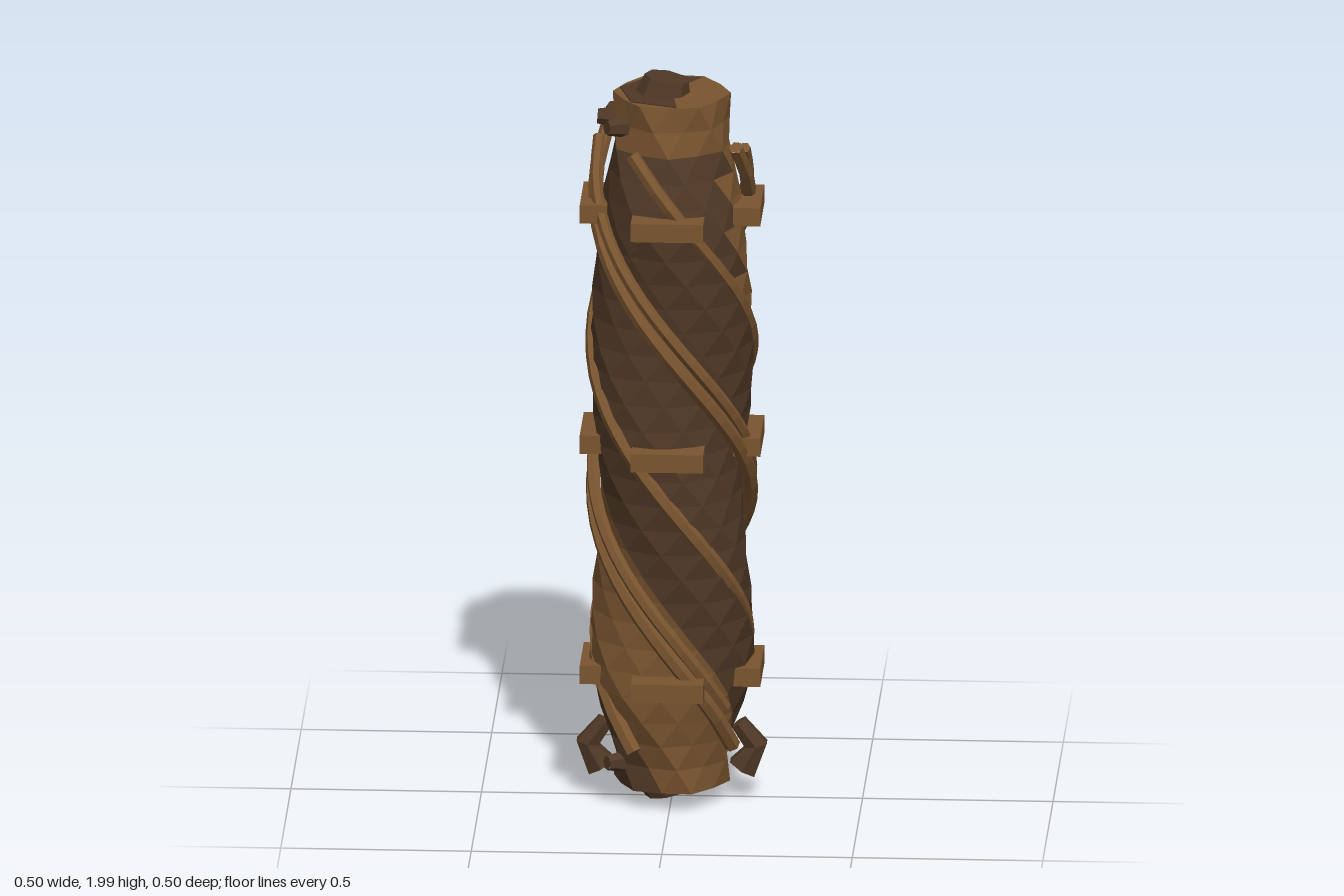
import * as THREE from 'three';

const light = new THREE.MeshStandardMaterial({ color: 0x7a5530, flatShading: true });
light.name = 'lightWood';
const dark = new THREE.MeshStandardMaterial({ color: 0x4f3826, flatShading: true });
dark.name = 'darkWood';

const SIDES = 12, RINGS = 28, RATE = 3.81; // twist in radians per unit of height
const rad = THREE.MathUtils.degToRad;
const polar = (a, r, y) => new THREE.Vector3(Math.sin(a) * r, y, Math.cos(a) * r);
const columnAngle = (j, y) => rad(120) + (1.4 - y) * RATE + (j / SIDES) * Math.PI * 2;

// Trunk surface: narrow six-sided ends, a two-lobed twisting middle
function trunkPoint(j, y) {
  const a = columnAngle(j, y);
  const mid = THREE.MathUtils.smoothstep(Math.min(y - 0.1, 1.88 - y), 0, 0.28);
  const phase = rad(270) + (1.27 - y) * RATE;
  const end = 0.155 * (j % 2 ? 1 : 0.92);
  const full = 0.202 + 0.015 * Math.cos(2 * (a - phase));
  return polar(a, THREE.MathUtils.lerp(end, full, mid), y);
}

// Light grain: a collar on top, and a band that winds round below y = 1.4
function isLightGrain(j, y) {
  const centre = rad(122) + Math.max(0, 1.4 - y) * RATE;
  return y > 1.84 || Math.cos(columnAngle(j + 0.5, y) - centre) > 0.52;
}

function meshFromTriangles(name, pts, material) {
  const g = new THREE.BufferGeometry().setFromPoints(pts);
  g.computeVertexNormals();
  const m = new THREE.Mesh(g, material);
  m.name = name;
  return m;
}

// Tapered tube: rings of a tube shrink or grow along the path
function taperedTube(name, points, r0, r1, material, segments, sides = 6) {
  const curve = new THREE.CatmullRomCurve3(points);
  const g = new THREE.TubeGeometry(curve, segments, 1, sides, false);
  const p = g.attributes.position, v = new THREE.Vector3();
  for (let i = 0; i < p.count; i++) {
    const t = Math.floor(i / (sides + 1)) / segments;
    const c = curve.getPointAt(t);
    v.fromBufferAttribute(p, i).sub(c).multiplyScalar(THREE.MathUtils.lerp(r0, r1, t)).add(c);
    p.setXYZ(i, v.x, v.y, v.z);
  }
  g.computeVertexNormals();
  const group = new THREE.Group();
  group.name = name;
  const tube = new THREE.Mesh(g, material);
  tube.name = name + 'Stem';
  group.add(tube);
  // Closed ends
  [[0, r0, -1], [1, r1, 1]].forEach(([t, r, s]) => {
    const cap = new THREE.Mesh(new THREE.CircleGeometry(r, sides), material);
    cap.name = name + 'End';
    cap.position.copy(curve.getPointAt(t));
    cap.lookAt(cap.position.clone().addScaledVector(curve.getTangentAt(t), s));
    group.add(cap);
  });
  return group;
}

// Vine wound once around the trunk from a start angle in degrees
function vine(name, startDeg, from, to, radius) {
  const pts = [];
  for (let i = 0; i <= 16; i++) {
    const t = THREE.MathUtils.lerp(from, to, i / 16);
    const r = 0.197 + 0.014 * Math.sin(t * Math.PI) - 0.01 * t * t;
    pts.push(polar(rad(startDeg) + t * Math.PI * 2, r, 1.83 - 1.65 * t));
  }
  return taperedTube(name, pts, radius, radius * 1.15, light, 36);
}

export function createModel() {
  const model = new THREE.Group();
  model.name = 'twistedLog';

  // Trunk in two colours of grain
  const lightPts = [], darkPts = [];
  const y0 = 0.06, y1 = 1.95;
  for (let i = 0; i < RINGS; i++) {
    const ya = THREE.MathUtils.lerp(y0, y1, i / RINGS);
    const yb = THREE.MathUtils.lerp(y0, y1, (i + 1) / RINGS);
    for (let j = 0; j < SIDES; j++) {
      const a = trunkPoint(j, ya), b = trunkPoint(j + 1, ya);
      const c = trunkPoint(j + 1, yb), d = trunkPoint(j, yb);
      const pts = isLightGrain(j, (ya + yb) / 2) ? lightPts : darkPts;
      pts.push(a, b, c, a, c, d);
    }
  }
  for (let j = 0; j < SIDES; j++) {
    lightPts.push(new THREE.Vector3(0, y1, 0), trunkPoint(j, y1), trunkPoint(j + 1, y1));
    darkPts.push(new THREE.Vector3(0, y0, 0), trunkPoint(j + 1, y0), trunkPoint(j, y0));
  }
  model.add(meshFromTriangles('trunkLightGrain', lightPts, light));
  model.add(meshFromTriangles('trunkDarkGrain', darkPts, dark));

  // Dark heartwood on the top cut
  const heart = new THREE.Mesh(new THREE.CylinderGeometry(0.141, 0.141, 0.004, 4, 1, false, rad(148), rad(220)), dark);
  heart.name = 'heartwood';
  heart.position.y = 1.951;
  model.add(heart);

  // Slanted knots at both ends
  [[1.965, 1], [0.045, -1]].forEach(([y, s]) => {
    const knot = new THREE.Mesh(new THREE.CylinderGeometry(0.058, 0.074, 0.05, 8), dark);
    knot.name = s > 0 ? 'topKnot' : 'bottomKnot';
    knot.position.set(-0.018, y, 0);
    knot.rotation.set(s < 0 ? Math.PI : 0, 0, -0.18);
    model.add(knot);
  });

  // Four vines, two of them with a thinner strand alongside
  for (let k = 0; k < 4; k++) {
    const start = -29 + 90 * k;
    model.add(vine('vine', start, 0, 1, 0.019));
    if (k % 2) model.add(vine('vineStrand', start + 13, 0.01, 0.93, 0.016));
  }

  // Three levels of blocks on four sides
  for (const y of [0.37, 1.005, 1.64]) {
    for (const s of [-1, 1]) {
      const side = new THREE.Mesh(new THREE.BoxGeometry(0.072, 0.05, 0.2), light);
      side.name = 'sideBlock';
      side.position.set(0.201 * s, y, 0);
      const face = new THREE.Mesh(new THREE.BoxGeometry(0.19, 0.05, 0.085), light);
      face.name = s > 0 ? 'frontBlock' : 'backBlock';
      face.position.set(0, y, 0.2075 * s);
      model.add(side, face);
    }
  }

  // Hooked roots near the base, bent once
  for (const s of [-1, 1]) {
    const path = [[0.185, 0.09], [0.222, 0.15], [0.175, 0.215]]
      .map(([x, y]) => new THREE.Vector3(x * s, y, 0));
    model.add(taperedTube('hookedRoot', path, 0.043, 0.024, dark, 2));
  }

  // Twig stubs on the right side
  [[240, 1.87], [270, 1.88], [302, 1.88], [302, 0.13]].forEach(([deg, y]) => {
    const a = rad(deg);
    model.add(taperedTube('twigStub', [polar(a, 0.11, y - 0.005), polar(a, 0.195, y)], 0.036, 0.02, dark, 1));
  });

  return model;
}
